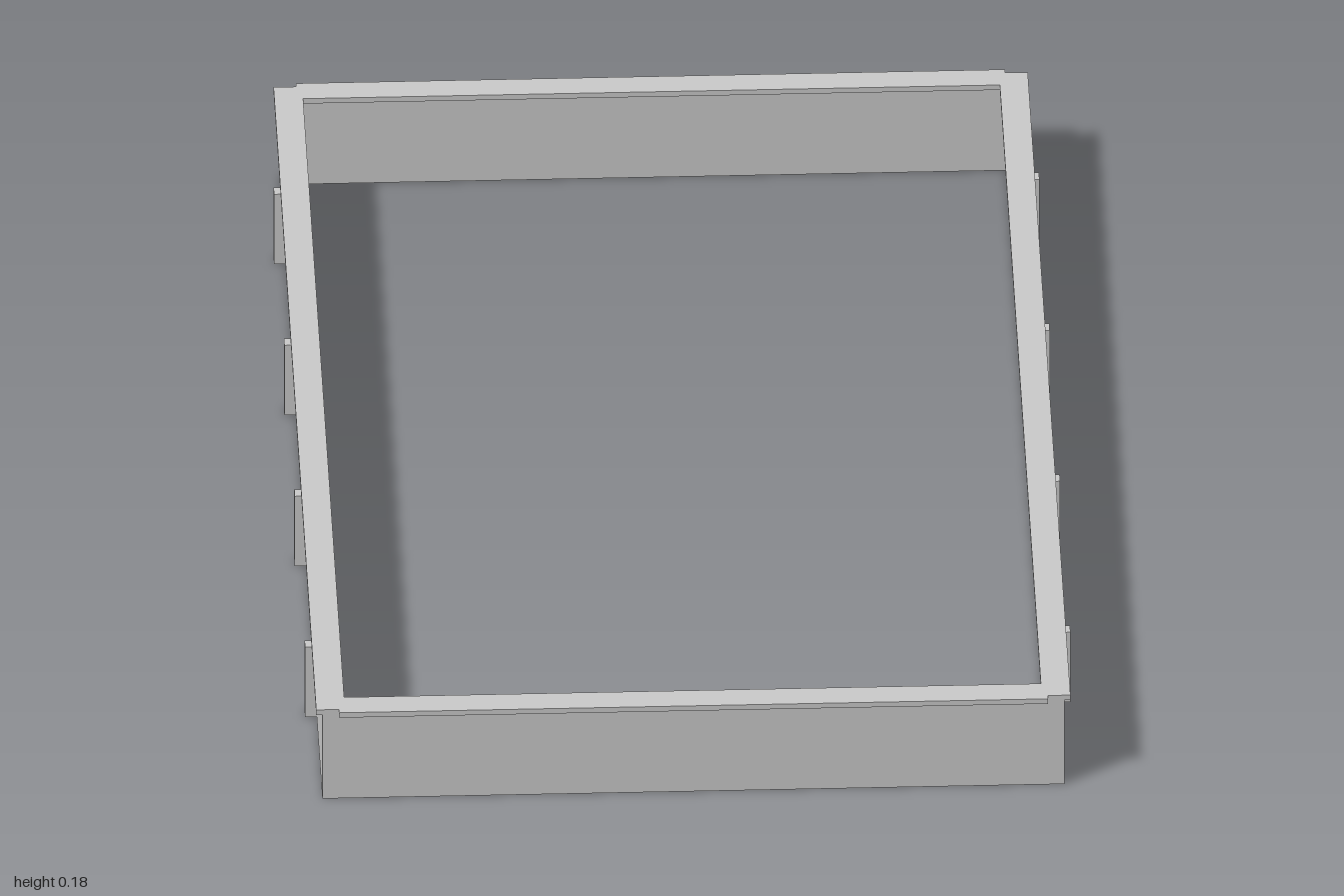
import * as THREE from 'three';

const material = new THREE.MeshStandardMaterial({ color: 0xcccccc, flatShading: true });

export function createModel() {
  const group = new THREE.Group();
  group.name = 'raisedBedFrame';

  // Box given by its size, centre x/z and bottom height
  const addBox = (name, w, h, d, x, y, z) => {
    const mesh = new THREE.Mesh(new THREE.BoxGeometry(w, h, d), material);
    mesh.name = name;
    mesh.position.set(x, y + h / 2, z);
    group.add(mesh);
  };

  const outerX = 0.632, outerZ = 0.99; // outside faces of the walls
  const wall = 0.028, wallTop = 0.169; // wall thickness and height
  const cap = 0.049, capHeight = 0.01; // flat trim on top of the walls
  const innerX = outerX - wall;

  for (const s of [-1, 1]) {
    const side = s > 0 ? 'left' : 'right';
    const end = s > 0 ? 'front' : 'back';
    const wallX = s * (outerX - wall / 2);
    const wallZ = s * (outerZ - wall / 2);

    // Walls: long sides run full length, ends fit between them
    addBox(side + 'Wall', wall, wallTop, outerZ * 2, wallX, 0, 0);
    addBox(end + 'Wall', innerX * 2, wallTop, wall, 0, 0, wallZ);

    // Overhanging caps, with small notches at the corners
    addBox(side + 'Cap', cap, capHeight, outerZ * 2, wallX, wallTop, 0);
    addBox(end + 'Cap', innerX * 2, capHeight, cap, 0, wallTop, wallZ);

    // Upright battens along the long sides
    for (const z of [-0.72, -0.24, 0.24, 0.72]) {
      addBox(side + 'Batten', 0.02, 0.141, 0.021, s * (outerX + 0.01), 0, z);
    }
  }
  return group;
}
